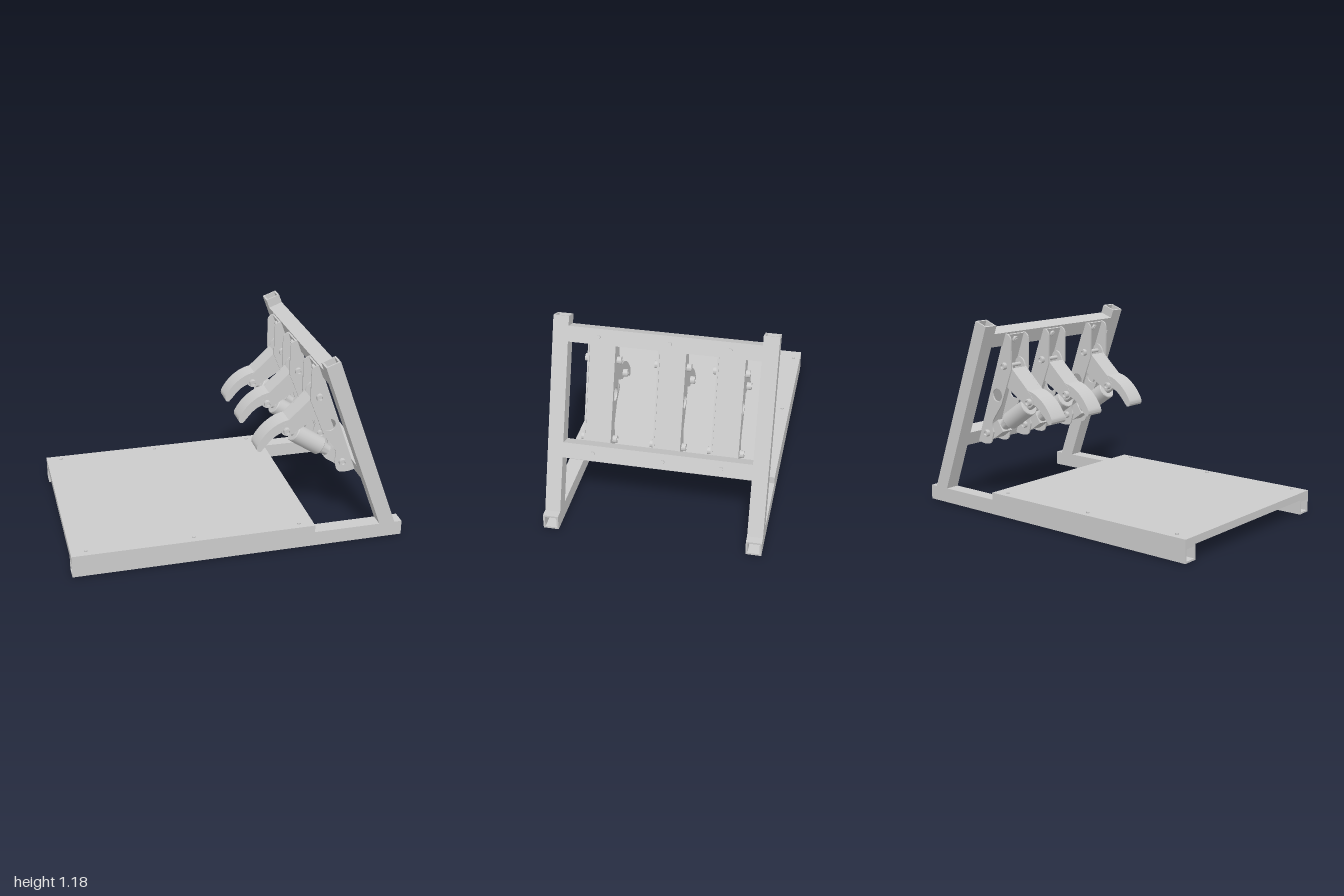
import * as THREE from 'three';
import { toCreasedNormals } from 'three/addons/utils/BufferGeometryUtils.js';

const mat = new THREE.MeshStandardMaterial({ color: 0xcccccc });
const TILT = THREE.MathUtils.degToRad(20);
const TUBE = 0.09, WALL = 0.011, RAIL_Z = 0.59;
const PEDAL_Z = [0.37, -0.035, -0.37];
const PIVOT = [0.508, 0.888], ROD_TOP = [0.32, 0.684], ROD_END = [0.668, 0.449];

function add(parent, name, geometry, x = 0, y = 0, z = 0) {
  const mesh = new THREE.Mesh(geometry, mat);
  mesh.name = name;
  mesh.position.set(x, y, z);
  parent.add(mesh);
  return mesh;
}

function group(parent, name, x = 0, y = 0, z = 0) {
  const g = new THREE.Group();
  g.name = name;
  g.position.set(x, y, z);
  parent.add(g);
  return g;
}

const vecs = (pts) => pts.map(([x, y]) => new THREE.Vector2(x, y));

// Flat outline given thickness in z, centred on z = 0
function slab(shape, depth) {
  const g = new THREE.ExtrudeGeometry(shape, { depth, bevelEnabled: false, curveSegments: 20 });
  return toCreasedNormals(g.translate(0, 0, -depth / 2), 0.5);
}

function lathe(pts, segments = 28) {
  return toCreasedNormals(new THREE.LatheGeometry(vecs(pts), segments), 0.5);
}

// Hollow square tube running up +y from the origin
function squareTube(length) {
  const h = TUBE / 2, i = h - WALL;
  const s = new THREE.Shape(vecs([[-h, -h], [h, -h], [h, h], [-h, h]]));
  s.holes.push(new THREE.Path(vecs([[-i, -i], [-i, i], [i, i], [i, -i]])));
  return new THREE.ExtrudeGeometry(s, { depth: length, bevelEnabled: false }).rotateX(-Math.PI / 2);
}

// Socket-head pin through a joint, along z
function pin(parent, name, [x, y], inner, outer) {
  const g = group(parent, name, x, y);
  add(g, 'pinShaft', new THREE.CylinderGeometry(0.012, 0.012, inner * 2, 16).rotateX(Math.PI / 2));
  const t = outer - inner;
  for (const side of [1, -1]) {
    const head = lathe([[0.022, 0], [0.022, t], [0.012, t], [0.012, t * 0.4], [0, t * 0.4]], 20);
    add(g, 'pinHead', head, 0, 0, side * inner).rotation.x = side * Math.PI / 2;
  }
}

function buildBase(root) {
  const base = group(root, 'base');
  add(base, 'deckPlate', new THREE.BoxGeometry(1.45, 0.045, 1.27), -0.275, 0.1175, 0);
  for (const z of [RAIL_Z, -RAIL_Z]) {
    add(base, 'baseRail', squareTube(2).rotateZ(-Math.PI / 2), -1, 0.05, z);
    for (const x of [-0.91, -0.28, 0.36]) {
      add(base, 'deckBolt', new THREE.CylinderGeometry(0.01, 0.01, 0.148, 14), x, 0.074, z);
    }
  }
}

function buildRack(root) {
  const rack = group(root, 'rack', 0.905, 0.095);
  rack.rotation.z = TILT;
  // Uprights, with the foot mitred level onto the rail
  for (const z of [RAIL_Z, -RAIL_Z]) {
    const g = squareTube(1.135), p = g.attributes.position;
    for (let i = 0; i < p.count; i++) {
      if (p.getY(i) < 0.01) p.setY(i, -p.getX(i) * Math.tan(TILT));
    }
    g.computeVertexNormals();
    add(rack, 'upright', g, 0, 0, z);
  }
  // Cross beams and the bolts that carry the pedal brackets
  for (const v of [1.035, 0.359]) {
    add(rack, 'crossBeam', new THREE.BoxGeometry(TUBE, TUBE, 1.09), 0, v, 0);
    for (const z of PEDAL_Z) {
      add(rack, 'beamBolt', new THREE.CylinderGeometry(0.011, 0.011, 0.13, 16).rotateZ(Math.PI / 2), -0.008, v, z);
      add(rack, 'beamNut', new THREE.CylinderGeometry(0.02, 0.02, 0.015, 6).rotateZ(Math.PI / 2), -0.0625, v, z);
    }
  }
  for (const z of PEDAL_Z) {
    add(rack, 'bracketBack', new THREE.BoxGeometry(0.01, 0.735, 0.16), -0.05, 0.7, z);
  }
}

function bracketSide() {
  const s = new THREE.Shape();
  s.moveTo(0.505, 1.088);
  s.quadraticCurveTo(0.455, 1.085, 0.455, 1.045);
  s.lineTo(0.455, 0.87);
  s.lineTo(0.545, 0.64);
  s.lineTo(0.61, 0.55);
  s.quadraticCurveTo(0.64, 0.51, 0.618, 0.46);
  s.lineTo(0.632, 0.41);
  s.quadraticCurveTo(0.638, 0.385, 0.66, 0.381);
  s.quadraticCurveTo(0.71, 0.372, 0.752, 0.39);
  const hole = new THREE.Path();
  hole.absarc(0.577, 0.7, 0.04, 0, Math.PI * 2);
  s.holes.push(hole);
  return slab(s, 0.01);
}

function armSide() {
  const s = new THREE.Shape();
  s.moveTo(0.29, 0.67);
  s.lineTo(0.29, 0.705);
  s.lineTo(0.33, 0.75);
  s.lineTo(0.465, 0.875);
  s.quadraticCurveTo(0.48, 0.93, 0.515, 0.93);
  s.quadraticCurveTo(0.55, 0.92, 0.548, 0.87);
  s.lineTo(0.53, 0.785);
  s.quadraticCurveTo(0.525, 0.762, 0.5, 0.748);
  s.lineTo(0.36, 0.662);
  s.quadraticCurveTo(0.32, 0.635, 0.29, 0.67);
  return slab(s, 0.012);
}

function padShape() {
  const s = new THREE.Shape();
  s.moveTo(0.335, 0.752);
  s.bezierCurveTo(0.26, 0.745, 0.18, 0.68, 0.142, 0.6);
  s.quadraticCurveTo(0.135, 0.562, 0.165, 0.565);
  s.bezierCurveTo(0.21, 0.61, 0.23, 0.66, 0.31, 0.678);
  return s;
}

// Telescopic damper between the pedal arm and the bracket foot
function buildDamper(parent) {
  const dx = ROD_END[0] - ROD_TOP[0], dy = ROD_END[1] - ROD_TOP[1];
  const damper = group(parent, 'damper', ...ROD_TOP);
  damper.rotation.z = Math.atan2(dy, dx) - Math.PI / 2;
  add(damper, 'damperRod', new THREE.CylinderGeometry(0.026, 0.026, 0.09, 20), 0, 0.045, 0);
  add(damper, 'damperBody', lathe([
    [0, 0.075], [0.053, 0.075], [0.057, 0.08], [0.057, 0.272], [0.053, 0.277],
    [0.043, 0.279], [0.034, 0.325], [0.034, 0.35], [0, 0.35]]));
  const eye = new THREE.Shape();
  eye.moveTo(0.042, 0.335);
  eye.lineTo(0.042, 0.42);
  eye.absarc(0, 0.42, 0.042, 0, Math.PI);
  eye.lineTo(-0.042, 0.335);
  add(damper, 'damperEye', slab(eye, 0.08));
}

function buildPedal(root, z) {
  const pedal = group(root, 'pedal', 0, 0, z);
  for (const side of [1, -1]) {
    add(pedal, 'bracketSide', bracketSide(), 0, 0, side * 0.075);
    add(pedal, 'pedalArmSide', armSide(), 0, 0, side * 0.0565);
  }
  // Web joining the two arm sides along their upper edge
  const web = new THREE.Shape(vecs([[0.33, 0.738], [0.466, 0.863], [0.466, 0.875], [0.33, 0.75]]));
  add(pedal, 'pedalArmWeb', slab(web, 0.11));
  add(pedal, 'footPad', slab(padShape(), 0.122));
  buildDamper(pedal);
  pin(pedal, 'armPivot', PIVOT, 0.08, 0.105);
  pin(pedal, 'damperUpperPivot', ROD_TOP, 0.0625, 0.09);
  pin(pedal, 'damperLowerPivot', ROD_END, 0.08, 0.105);
}

export function createModel() {
  const root = new THREE.Group();
  root.name = 'pedalStand';
  buildBase(root);
  buildRack(root);
  for (const z of PEDAL_Z) buildPedal(root, z);
  return root;
}
